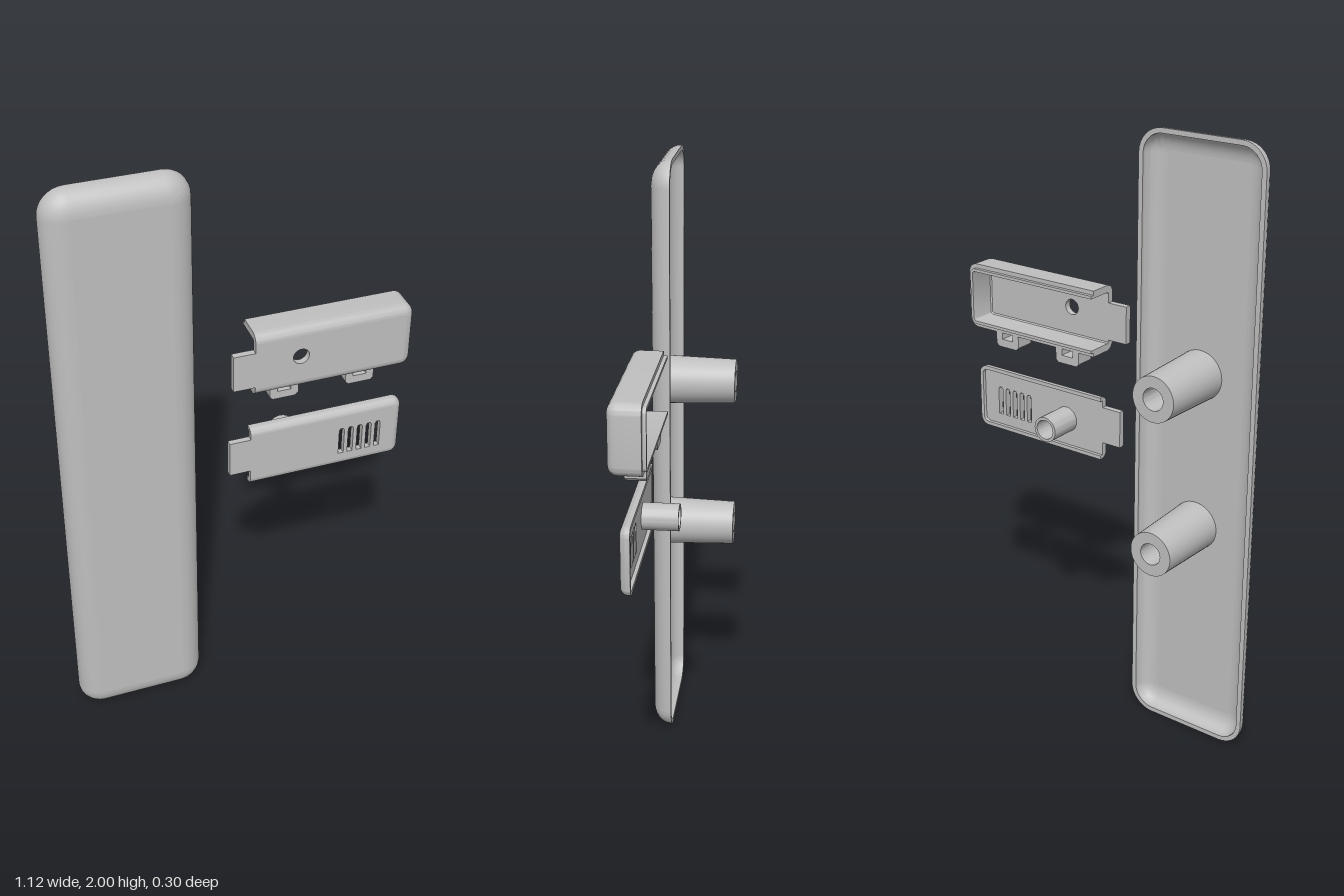
import * as THREE from 'three';
import { mergeGeometries, toCreasedNormals } from 'three/addons/utils/BufferGeometryUtils.js';

const grey = new THREE.MeshStandardMaterial({ color: 0xbfbfbf });
grey.name = 'light grey plastic';

function mesh(name, geometry, parent) {
  const m = new THREE.Mesh(geometry, grey);
  m.name = name;
  parent.add(m);
  return m;
}

// Rounded rectangle, counterclockwise; an open one has a straight left end with no inset.
function outline({ x0, x1, y0, y1, r, open }, inset) {
  const pts = [], steps = 8;
  const corner = (cx, cy, start) => {
    for (let i = 0; i <= steps; i++) {
      const a = start + (i / steps) * Math.PI / 2;
      pts.push(new THREE.Vector2(cx + (r - inset) * Math.cos(a), cy + (r - inset) * Math.sin(a)));
    }
  };
  if (open) pts.push(new THREE.Vector2(x0, y0 + inset));
  corner(x1 - r, y0 + r, -Math.PI / 2);
  corner(x1 - r, y1 - r, 0);
  if (open) pts.push(new THREE.Vector2(x0, y1 - inset));
  else {
    corner(x0 + r, y1 - r, Math.PI / 2);
    corner(x0 + r, y0 + r, Math.PI);
  }
  return pts;
}

// Quarter ellipse of [inset, z] points from the side to the front (or back again).
function curve(in0, z0, in1, z1, back = false) {
  const pts = [];
  for (let i = 0; i <= 8; i++) {
    const a = (i / 8) * Math.PI / 2;
    pts.push([in1 + (in0 - in1) * Math.cos(a), z0 + (z1 - z0) * Math.sin(a)]);
  }
  return back ? pts.reverse() : pts;
}

// Sweeps a closed [inset, z] section around the outline.
function rim(frame, section) {
  const rings = section.map(([inset, z]) => outline(frame, inset).map(p => [p.x, p.y, z]));
  const n = rings[0].length, m = section.length, pos = [];
  const tri = (a, b, c) => pos.push(...a, ...b, ...c);
  for (let i = 0; i < (frame.open ? n - 1 : n); i++) {
    const k = (i + 1) % n;
    for (let j = 0; j < m; j++) {
      const A = rings[j], B = rings[(j + 1) % m];
      tri(A[i], A[k], B[k]);
      tri(A[i], B[k], B[i]);
    }
  }
  if (frame.open) { // cut ends of the two long walls
    const flat = section.map(s => new THREE.Vector2(...s)).reverse();
    for (const f of THREE.ShapeUtils.triangulateShape(flat, [])) {
      const [a, b, c] = f.map(v => m - 1 - v);
      tri(rings[a][0], rings[c][0], rings[b][0]);
      tri(rings[a][n - 1], rings[b][n - 1], rings[c][n - 1]);
    }
  }
  const g = new THREE.BufferGeometry();
  g.setAttribute('position', new THREE.Float32BufferAttribute(pos, 3));
  return toCreasedNormals(g, 0.6);
}

// Flat front face, with through holes
function slab(frame, inset, z0, z1, holes = []) {
  const shape = new THREE.Shape(outline(frame, inset));
  shape.holes.push(...holes);
  return new THREE.ExtrudeGeometry(shape, { depth: z1 - z0, bevelEnabled: false, curveSegments: 24 })
    .translate(0, 0, z0);
}

// Turned part whose axis points to the back; profile is [radius, z]
function turned(profile, x, y) {
  const g = new THREE.LatheGeometry(profile.map(([r, z]) => new THREE.Vector2(r, -z)), 40);
  g.rotateX(-Math.PI / 2).translate(x, y, 0);
  return toCreasedNormals(g, 0.6);
}

function block(x0, x1, y0, y1, z0, z1) {
  return new THREE.BoxGeometry(x1 - x0, y1 - y0, z1 - z0)
    .translate((x0 + x1) / 2, (y0 + y1) / 2, (z0 + z1) / 2);
}

function group(name, parent) {
  const g = new THREE.Group();
  g.name = name;
  parent.add(g);
  return g;
}

export function createModel() {
  const model = new THREE.Group();
  model.name = 'panelAndHousing';

  // Long hollow panel with two mounting posts
  const panel = group('longPanel', model);
  const pf = { x0: -0.56, x1: -0.125, y0: 0, y1: 2, r: 0.082 };
  mesh('panelRim', rim(pf, [
    [0, 0.047], ...curve(0, 0.052, 0.074, 0.113),
    ...curve(0.016, 0.052, 0.074, 0.097, true), [0.016, 0.047],
  ]), panel);
  mesh('panelFace', slab(pf, 0.074, 0.097, 0.113), panel);
  for (const y of [0.735, 1.25]) {
    mesh('mountingPost', turned(
      [[0.081, 0.1], [0.0735, -0.152], [0.036, -0.152], [0.036, 0.08], [0, 0.08]], -0.328, y), panel);
  }

  // Deep housing, open at the tab end, with a stepped lip at the back
  const box = group('housing', model);
  const bf = { x0: 0.04, x1: 0.557, y0: 1.24, y1: 1.46, r: 0.034, open: true };
  mesh('housingWalls', rim(bf, [
    [0.014, 0.034], [0.014, 0.046], [0, 0.046], ...curve(0, 0.118, 0.028, 0.147),
    [0.028, 0.125], [0.024, 0.121], [0.024, 0.034],
  ]), box);
  const round = new THREE.Path().absarc(0.187, 1.357, 0.026, 0, Math.PI * 2, true);
  mesh('housingFace', slab(bf, 0.028, 0.125, 0.147, [round]), box);
  mesh('housingTab', block(-0.03, 0.04, 1.275, 1.4, 0.125, 0.147), box);

  // Loops below the housing
  const loop = new THREE.Shape([
    [-0.047, 1.245], [-0.047, 1.2], [-0.037, 1.19], [0.037, 1.19], [0.047, 1.2], [0.047, 1.245],
    [0.022, 1.245], [0.022, 1.217], [-0.022, 1.217], [-0.022, 1.245],
  ].map(p => new THREE.Vector2(...p)));
  for (const x of [0.148, 0.4]) {
    mesh('clipLoop', new THREE.ExtrudeGeometry(loop, { depth: 0.065, bevelEnabled: false })
      .translate(x, 0, 0.048), box);
  }

  // Shallow cover with vent slots and a hollow peg
  const cover = group('cover', model);
  const cf = { x0: 0.04, x1: 0.557, y0: 0.868, y1: 1.087, r: 0.03, open: true };
  mesh('coverRim', rim(cf, [
    [0, 0.083], ...curve(0, 0.092, 0.022, 0.115), [0.022, 0.095], [0.013, 0.095], [0.013, 0.083],
  ]), cover);
  const slots = [];
  for (let i = 0; i < 5; i++) {
    const x = 0.351 + i * 0.0312, w = 0.009;
    slots.push(new THREE.Path([
      [x - w, 0.918], [x - w, 1.01], [x - w / 2, 1.017], [x + w / 2, 1.017], [x + w, 1.01], [x + w, 0.918],
    ].map(p => new THREE.Vector2(...p))));
  }
  mesh('coverFace', slab(cf, 0.022, 0.095, 0.115, slots), cover);
  mesh('coverTab', block(-0.03, 0.04, 0.925, 1.05, 0.095, 0.115), cover);
  mesh('coverPeg', turned(
    [[0.043, 0.1], [0.043, -0.02], [0.033, -0.02], [0.033, 0.094], [0, 0.094]], 0.19, 0.972), cover);

  return model;
}
